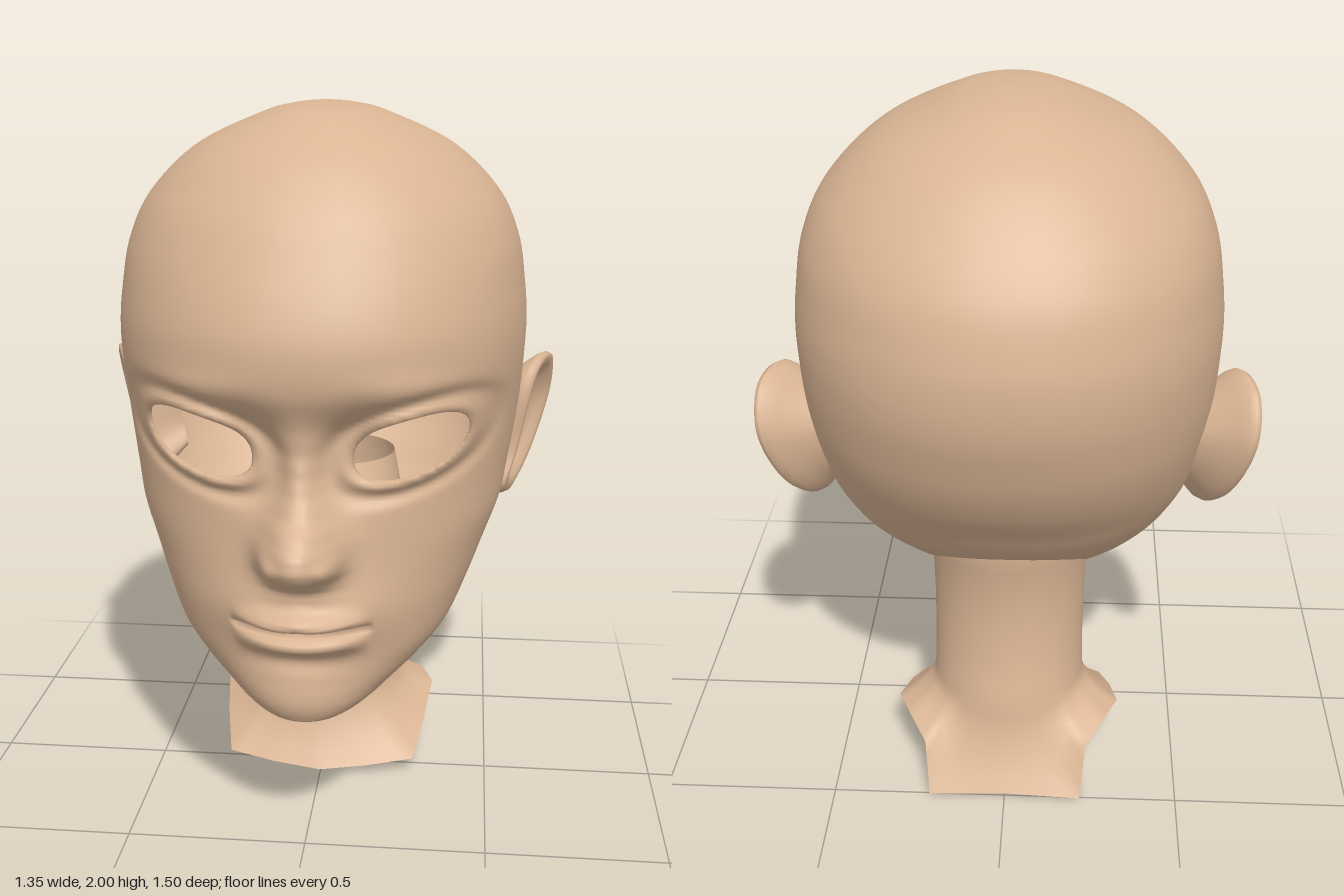
import * as THREE from 'three';
import { mergeVertices } from 'three/addons/utils/BufferGeometryUtils.js';

const V = (x, y, z) => new THREE.Vector3(x, y, z);
const bell = (v, s) => Math.exp(-((v / s) ** 2));

// Smooth geometry from a flat list of triangle corners
function smooth(points) {
  const g = new THREE.BufferGeometry().setFromPoints(points);
  const merged = mergeVertices(g, 1e-5);
  merged.computeVertexNormals();
  return merged;
}

// Triangles of a grid of rows; each row is a list of points
function gridTriangles(rows) {
  const tris = [];
  for (let i = 0; i < rows.length - 1; i++) {
    for (let j = 0; j < rows[i].length - 1; j++) {
      const a = rows[i][j], b = rows[i + 1][j], c = rows[i + 1][j + 1], d = rows[i][j + 1];
      tris.push([a, b, c], [a, c, d]);
    }
  }
  return tris.filter(([a, b, c]) => a.distanceTo(b) > 1e-6 && b.distanceTo(c) > 1e-6 && a.distanceTo(c) > 1e-6);
}

// Linear lookup in a list of [key, value...] with descending keys
function lookup(table, key) {
  for (let i = 0; i < table.length - 1; i++) {
    const [k0, v0] = table[i], [k1, v1] = table[i + 1];
    if (key <= k0 && key >= k1) {
      const t = (k0 - key) / (k0 - k1);
      return v0 + (v1 - v0) * t * t * (3 - 2 * t) * 0.5 + (v1 - v0) * t * 0.5;
    }
  }
  return 0;
}

// Head sections: height, half width, front z, widest z, back z
const SECTIONS = [
  [2, 0, -0.08, -0.08, -0.08], [1.99, 0.09, 0.08, -0.08, -0.22], [1.965, 0.18, 0.2, -0.08, -0.33],
  [1.88, 0.36, 0.365, -0.09, -0.49], [1.755, 0.49, 0.485, -0.1, -0.615], [1.63, 0.55, 0.56, -0.1, -0.7],
  [1.5, 0.572, 0.62, -0.1, -0.74], [1.4, 0.58, 0.642, -0.1, -0.75], [1.3, 0.577, 0.63, -0.1, -0.74],
  [1.2, 0.57, 0.58, -0.1, -0.71], [1.1, 0.557, 0.56, -0.09, -0.67], [1.0, 0.54, 0.56, -0.07, -0.61],
  [0.9, 0.52, 0.565, -0.04, -0.53], [0.8, 0.48, 0.575, 0, -0.45], [0.7, 0.437, 0.58, 0.06, -0.33],
  [0.6, 0.385, 0.57, 0.14, -0.2], [0.53, 0.32, 0.57, 0.2, -0.1], [0.475, 0.25, 0.575, 0.26, 0.02],
  [0.44, 0.2, 0.572, 0.32, 0.12], [0.41, 0.14, 0.56, 0.4, 0.28], [0.395, 0.08, 0.545, 0.46, 0.39],
  [0.39, 0, 0.5, 0.5, 0.5],
];
// Nose height above the face along the middle
const NOSE = [[1.27, 0], [1.15, 0.02], [1.1, 0.04], [1.05, 0.06], [1, 0.09], [0.95, 0.148], [0.92, 0.178],
  [0.885, 0.183], [0.855, 0.16], [0.82, 0.08], [0.79, 0.03], [0.74, 0]];

// Eye opening: 1 on the outline, below 1 inside
function eyeRadius(x, y) {
  const dx = Math.abs(x) - 0.278, dy = y - 1.155 - 0.22 * dx;
  return (Math.abs(dx / 0.147) ** 2.3 + Math.abs(dy / 0.083) ** 2.3) ** (1 / 2.3);
}

// Forward offset of the facial features
function faceRelief(x, y) {
  const ax = Math.abs(x);
  // Nose, with wings at the nostrils
  const half = 0.05 + 0.042 * THREE.MathUtils.smoothstep(1.1 - y, 0, 0.19);
  let d = lookup(NOSE, y) * Math.exp(-((ax / half) ** 2.4));
  d += 0.045 * bell(ax - 0.08, 0.03) * bell(y - 0.875, 0.035);
  // Lips
  const lip = Math.max(0, 1 - (ax / 0.185) ** 2);
  d += 0.045 * bell(x, 0.17) * bell(y - 0.71, 0.085);
  d += 0.055 * lip * bell(y - 0.715 + 0.1 * ax, 0.026);
  d += 0.05 * lip * bell(y - 0.64, 0.027);
  d -= 0.06 * Math.sqrt(lip) * bell(y - 0.678, 0.011);
  d -= 0.012 * bell(x, 0.12) * bell(y - 0.575, 0.03);
  // Eye sockets, lids and brow
  const r = eyeRadius(x, y);
  d -= 0.05 * bell(ax - 0.15, 0.08) * bell(y - 1.15, 0.1);
  d += 0.018 * bell(r - 1.1, 0.16);
  d -= 0.014 * bell(r - 1.5, 0.2);
  d += 0.012 * bell(ax - 0.28, 0.15) * bell(y - 1.32, 0.04);
  return d;
}

function headGeometry() {
  const outer = new THREE.CatmullRomCurve3(SECTIONS.map(s => V(s[1], s[0], s[2])), false, 'catmullrom', 0.5);
  const inner = new THREE.CatmullRomCurve3(SECTIONS.map(s => V(s[3], s[0], s[4])), false, 'catmullrom', 0.5);
  const rowCount = (SECTIONS.length - 1) * 9, cols = 160, rows = [];
  for (let i = 0; i <= rowCount; i++) {
    const o = outer.getPoint(i / rowCount), n = inner.getPoint(i / rowCount), row = [];
    for (let j = 0; j <= cols; j++) {
      const u = (j / cols) * 2 - 1, a = Math.PI * (0.55 * u + 0.45 * u ** 3);
      const s = Math.sin(a), c = Math.cos(a), power = 2 / 2.15;
      const x = Math.abs(j % cols) < 1 ? 0 : Math.max(0, o.x) * Math.sign(s) * Math.abs(s) ** power;
      let z = n.x + (c > 0 ? o.z - n.x : n.x - n.z) * Math.sign(c) * Math.abs(c) ** power;
      if (c > 0) z += faceRelief(x, o.y) * THREE.MathUtils.smoothstep(c, 0.1, 0.5);
      row.push(V(x, o.y, z));
    }
    rows.push(row);
  }
  // Cut the eye openings and give their edges a short inward rim
  const out = [];
  const level = p => (p.z > 0.1 ? eyeRadius(p.x, p.y) - 1 : 1);
  for (const tri of gridTriangles(rows)) {
    const f = tri.map(level), poly = [], cut = [];
    for (let k = 0; k < 3; k++) {
      const m = (k + 1) % 3;
      if (f[k] >= 0) poly.push(tri[k]);
      if ((f[k] >= 0) !== (f[m] >= 0)) {
        const p = tri[k].clone().lerp(tri[m], f[k] / (f[k] - f[m]));
        poly.push(p);
        if (f[k] >= 0) cut.unshift(p); else cut.push(p);
      }
    }
    for (let k = 1; k < poly.length - 1; k++) out.push(poly[0], poly[k], poly[k + 1]);
    if (cut.length === 2) {
      const [a, b] = cut, a2 = a.clone(), b2 = b.clone();
      a2.z -= 0.025;
      b2.z -= 0.025;
      out.push(b, a, a2, b, a2, b2);
    }
  }
  return smooth(out);
}

// Neck rings: height, half width, front z, back z
const NECK = [[0.95, 0.2, -0.02, -0.4], [0.8, 0.23, 0.05, -0.415], [0.7, 0.23, 0.09, -0.392], [0.6, 0.225, 0.1, -0.378],
  [0.5, 0.222, 0.085, -0.38], [0.4, 0.22, 0.05, -0.39], [0.32, 0.22, 0.025, -0.405], [0.27, 0.222, 0.015, -0.42]];
// Ragged lower border, from the front middle round to the back middle
const BORDER = [V(0, 0.02, 0.11), V(0.14, 0.03, 0.09), V(0.28, 0.04, 0.05), V(0.31, 0.11, -0.1), V(0.33, 0.165, -0.25),
  V(0.29, 0.175, -0.35), V(0.235, 0.14, -0.44), V(0.22, 0, -0.505), V(0, 0.015, -0.51)];

function neckGeometry() {
  const cols = 64, rows = [];
  const ringPoint = ([y, w, front, back], a) =>
    V(w * Math.sin(a), y, (front + back) / 2 + (front - back) / 2 * Math.cos(a));
  const angle = j => ((j / cols) * 2 - 1) * Math.PI;
  for (const ring of NECK) rows.push(Array.from({ length: cols + 1 }, (_, j) => ringPoint(ring, angle(j))));
  const last = rows[rows.length - 1];
  for (let k = 1; k <= 6; k++) {
    const t = k / 6;
    rows.push(last.map((p, j) => {
      const u = Math.abs((j / cols) * 2 - 1) * 8, i = Math.min(7, Math.floor(u));
      const e = BORDER[i].clone().lerp(BORDER[i + 1], u - i);
      if (j < cols / 2) e.x *= -1;
      const q = p.clone().lerp(e, t * t);
      q.y = p.y + (e.y - p.y) * t;
      return q;
    }));
  }
  return smooth(gridTriangles(rows).flat());
}

// Ear: one outline (z, y) repeated as rings from the root over the rim into the hollow
function earGeometry(side) {
  const outline = new THREE.CatmullRomCurve3([[-0.12, 1.16], [-0.15, 1.235], [-0.22, 1.26], [-0.31, 1.235], [-0.37, 1.13],
    [-0.345, 1.0], [-0.27, 0.89], [-0.17, 0.84], [-0.095, 0.87], [-0.12, 0.98]].map(([z, y]) => V(0, y, z)), true);
  const profile = [[0.5, -0.13], [0.68, -0.08], [0.86, -0.045], [0.96, -0.022], [1, -0.004], [0.97, 0.01],
    [0.9, 0.014], [0.81, 0.008], [0.72, -0.01], [0.62, -0.026], [0.4, -0.034], [0, -0.036]];
  const ring = outline.getPoints(48);
  const rows = profile.map(([s, d]) => ring.map(p => {
    const z = -0.215 + (p.z + 0.215) * s, y = 1.07 + (p.y - 1.07) * s;
    const x = 0.56 + (-z - 0.1) * 0.33 + (y - 1.05) * 0.2 + d;
    return V(side * x, y, z);
  }));
  const tris = gridTriangles(rows);
  return smooth(tris.map(([a, b, c]) => (side > 0 ? [a, c, b] : [a, b, c])).flat());
}

export function createModel() {
  const skin = new THREE.MeshStandardMaterial({ color: 0xdab594, side: THREE.DoubleSide });
  skin.name = 'skin';
  const model = new THREE.Group();
  model.name = 'headBust';
  const add = (name, geometry) => {
    const mesh = new THREE.Mesh(geometry, skin);
    mesh.name = name;
    model.add(mesh);
  };
  add('head', headGeometry());
  add('neck', neckGeometry());
  add('leftEar', earGeometry(1));
  add('rightEar', earGeometry(-1));
  return model;
}
